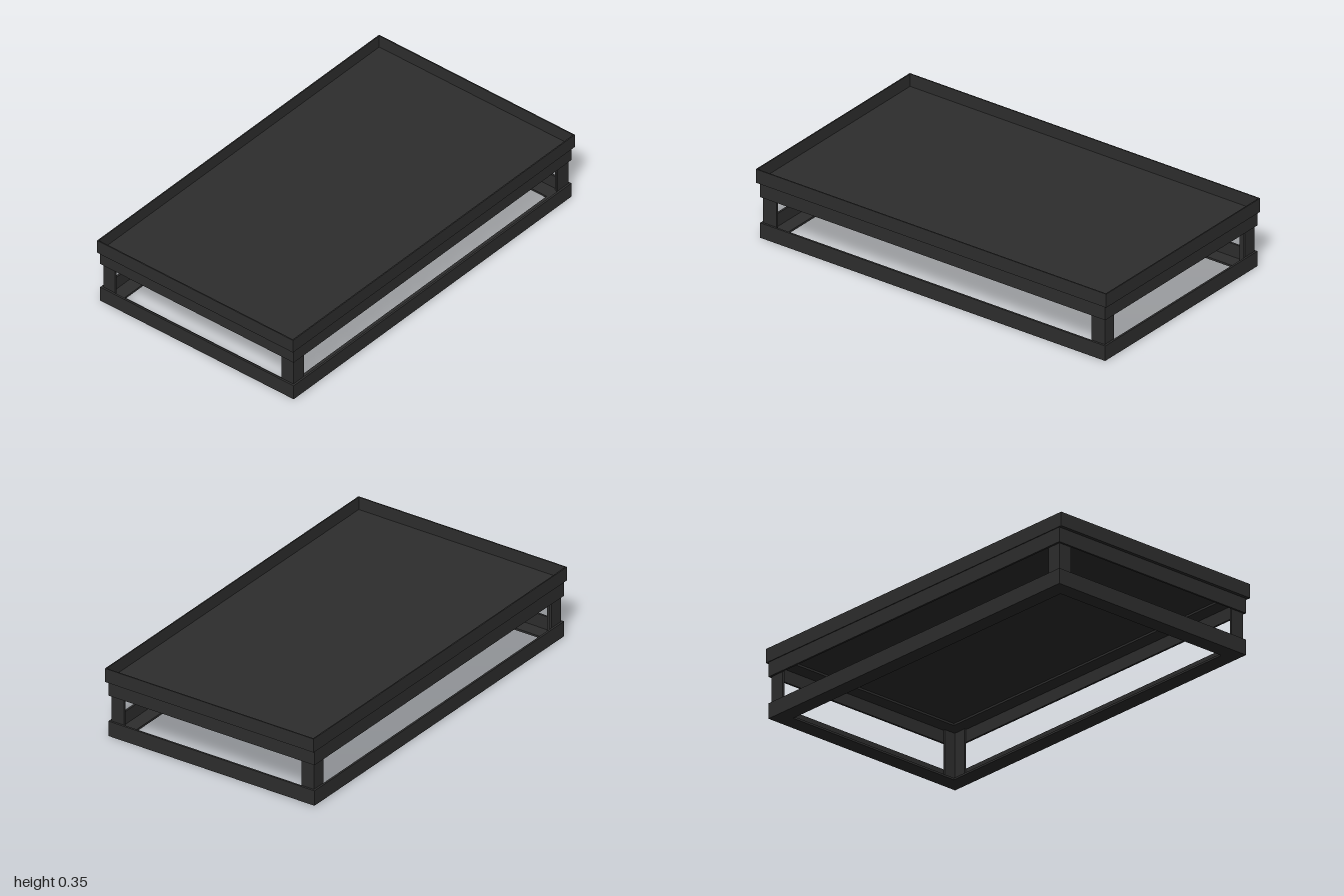
import * as THREE from 'three';

export function createModel() {
  const model = new THREE.Group();
  model.name = 'trayTable';
  const darkMetal = new THREE.MeshStandardMaterial({ color: 0x2e2e2e });
  darkMetal.name = 'darkMetal';

  // Box given by its min and max corners
  function box(parent, name, x0, x1, y0, y1, z0, z1) {
    const mesh = new THREE.Mesh(new THREE.BoxGeometry(x1 - x0, y1 - y0, z1 - z0), darkMetal);
    mesh.position.set((x0 + x1) / 2, (y0 + y1) / 2, (z0 + z1) / 2);
    mesh.name = name;
    parent.add(mesh);
  }

  function group(name, parent = model) {
    const g = new THREE.Group();
    g.name = name;
    parent.add(g);
    return g;
  }

  // Four upright plates around a rectangle, inset by the thickness t
  function walls(parent, name, hx, hz, y0, y1, t) {
    for (const s of [-1, 1]) {
      const xc = s * (hx - t / 2), zc = s * (hz - t / 2);
      box(parent, name + 'Side', xc - t / 2, xc + t / 2, y0, y1, -hz, hz);
      box(parent, name + 'End', -hx + t, hx - t, y0, y1, zc - t / 2, zc + t / 2);
    }
  }

  // Frame of angle bars: upright walls plus a flat flange at height f
  function angleFrame(parent, name, hx, hz, y0, y1, t, f, w) {
    const g = group(name, parent);
    walls(g, name + 'Wall', hx, hz, y0, y1, t);
    walls(g, name + 'Flange', hx - t, hz - t, f, f + t, w);
  }

  // Tray: recessed floor with a thin raised rim
  const tray = group('tray');
  box(tray, 'trayFloor', -0.575, 0.575, 0.283, 0.289, -0.994, 0.994);
  walls(tray, 'trayRim', 0.581, 1, 0.283, 0.353, 0.006);

  // Stand: apron, base and angle legs, set very slightly off centre
  const stand = group('stand');
  stand.position.set(-0.003, 0, -0.002);
  const HX = 0.574, HZ = 0.985, T = 0.01, W = 0.07;
  angleFrame(stand, 'apron', HX, HZ, 0.21, 0.283, T, 0.273, W);
  angleFrame(stand, 'base', HX, HZ, 0, 0.077, T, 0, W);

  for (const sx of [-1, 1]) {
    for (const sz of [-1, 1]) {
      const leg = group('leg', stand);
      const x = sx * (HX - T), z = sz * (HZ - T);
      const span = (a, d) => [Math.min(a, a + d), Math.max(a, a + d)];
      box(leg, 'legSidePlate', ...span(x, -sx * T), 0.01, 0.273, ...span(z, -sz * 0.076));
      box(leg, 'legEndPlate', ...span(x - sx * T, -sx * 0.06), 0.01, 0.273, ...span(z, -sz * T));
    }
  }
  return model;
}
